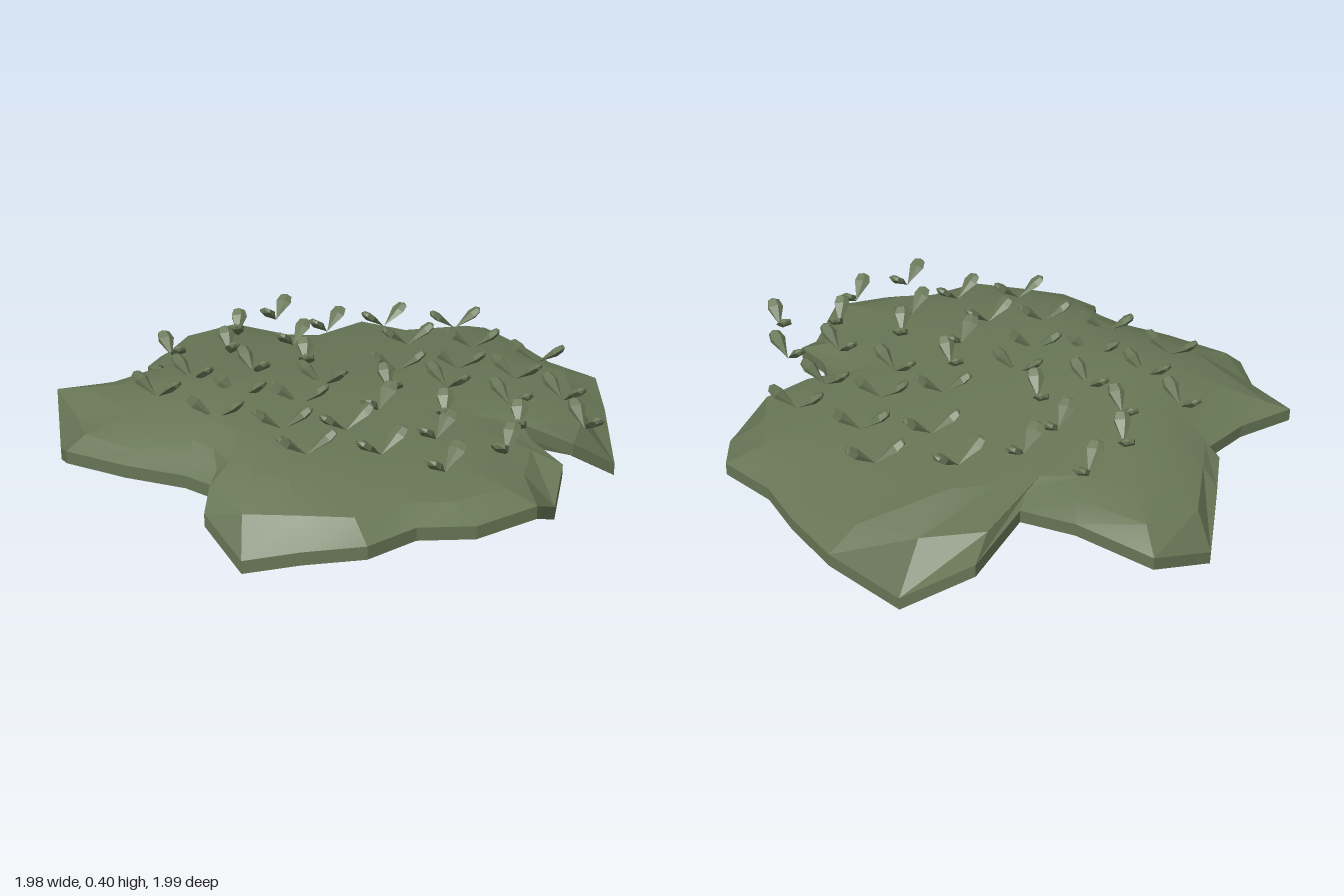
import * as THREE from 'three';
import { mergeGeometries, toCreasedNormals } from 'three/addons/utils/BufferGeometryUtils.js';

// Rim of the mound: x, z and height of its upper edge
const RIM = [
  [0, -1, 0.2], [0.22, -0.9, 0.2], [0.39, -0.8, 0.2], [0.61, -0.75, 0.2], [0.73, -0.58, 0.16],
  [0.86, -0.4, 0.045], [0.77, -0.24, 0.16], [0.62, -0.13, 0.24], [0.7, -0.05, 0.23], [0.86, 0.03, 0.21],
  [0.92, 0.2, 0.14], [0.94, 0.37, 0.22], [0.83, 0.56, 0.2], [0.68, 0.67, 0.2], [0.61, 0.84, 0.19],
  [0.42, 0.92, 0.15], [0.245, 0.99, 0.1], [0.05, 0.92, 0.18], [0, 0.81, 0.22], [-0.12, 0.8, 0.22],
  [-0.35, 0.83, 0.21], [-0.62, 0.82, 0.19], [-0.78, 0.68, 0.11], [-0.94, 0.51, 0.24], [-0.83, 0.33, 0.23],
  [-0.79, 0.15, 0.23], [-0.84, 0.12, 0.22], [-0.9, -0.03, 0.2], [-0.99, -0.27, 0.12], [-0.88, -0.47, 0.18],
  [-0.6, -0.47, 0.21], [-0.42, -0.52, 0.23], [-0.42, -0.8, 0.19], [-0.2, -0.91, 0.045],
];

// Lower edges of the two pads overlapping beneath the mound: x, z, height
const REAR_PAD = [
  [0, -0.65, 0.155], [0.5, -0.4, 0.15], [0.7, 0.25, 0.09], [0.67, 0.41, 0.09], [0.5, 0.52, 0.07],
  [0.24, 0.28, 0.1], [-0.03, 0.31, 0.1], [-0.29, 0.235, 0], [-0.5, 0.22, 0.1], [-0.68, 0.15, 0.09],
  [-0.5, -0.3, 0.15],
];
const FRONT_PAD = [
  [0.24, -0.39, 0.085], [0.45, -0.28, 0.1], [0.55, 0.3, 0.15], [0, 0.55, 0.155], [-0.55, 0.3, 0.15],
  [-0.5, -0.12, 0.1], [-0.29, -0.26, 0.08], [-0.03, -0.43, 0.1],
];

// Sprouts: x, z and heading in degrees
const SPROUTS = [
  [0.06, -0.64, 48], [-0.18, -0.51, 70], [0, -0.39, 50], [0.22, -0.49, 29], [0.49, -0.49, 13],
  [0.28, -0.28, 17], [0.5, -0.305, -2], [0.11, -0.14, 38], [0.34, -0.1, -16], [0.6, -0.08, -22],
  [0.73, -0.22, -22], [0.9, -0.04, -38], [-0.57, -0.34, -80], [-0.33, -0.34, -90], [-0.355, -0.15, -85],
  [-0.59, -0.12, -56], [-0.2, -0.01, -52], [-0.5, 0.05, -42], [-0.65, 0.2, -31], [0.19, 0.04, -43],
  [0.245, 0.2, -86], [0.47, 0.14, -59], [0.53, 0.3, -90], [0.445, 0.5, 75], [0.245, 0.4, 66],
  [0.245, 0.63, 52], [0.72, 0.09, -63], [0.775, 0.28, -76], [0.68, 0.5, -90], [-0.31, 0.16, -27],
  [-0.04, 0.12, 0], [-0.45, 0.335, -12], [-0.215, 0.37, 8], [-0.01, 0.3, 27], [-0.46, 0.52, 0],
  [-0.175, 0.56, 20], [0.065, 0.51, 42],
];

// Average each outline point with its neighbours to round off the notches
function smoothed(points, passes) {
  for (let k = 0; k < passes; k++) {
    points = points.map((p, i) => {
      const a = points.at(i - 1), b = points[(i + 1) % points.length];
      return p.map((v, n) => v * 0.5 + (a[n] + b[n]) * 0.25);
    });
  }
  return points;
}

// Closed shell lofted from top centre, over the edge, to bottom centre;
// each ring gives its scale, smoothing passes and height rule
function shellGeometry(outline, [cx, cz], ringRules) {
  const rings = ringRules.map(([s, passes, height]) => smoothed(outline, passes).map(([x, z, y]) =>
    [cx + (x - cx) * s, height(y, x, z), cz + (z - cz) * s]));
  const pos = [];
  for (let r = 0; r < rings.length - 1; r++) {
    for (let i = 0; i < outline.length; i++) {
      const j = (i + 1) % outline.length;
      const a = rings[r][i], b = rings[r][j], c = rings[r + 1][j], d = rings[r + 1][i];
      if (r > 0) pos.push(...a, ...b, ...c);
      if (r < rings.length - 2) pos.push(...a, ...c, ...d);
    }
  }
  const g = new THREE.BufferGeometry();
  g.setAttribute('position', new THREE.Float32BufferAttribute(pos, 3));
  return toCreasedNormals(g, 0.25);
}

// Two flattened, faceted leaflets spreading upward from one point
function sproutGeometry() {
  const profile = [[0, 0], [0.008, 0.025], [0.032, 0.085], [0.024, 0.115], [0, 0.125]];
  const leaf = new THREE.LatheGeometry(profile.map((p) => new THREE.Vector2(...p)), 5);
  leaf.scale(0.5, 1, 1).rotateZ(-0.93);
  const pair = mergeGeometries([leaf, leaf.clone().rotateY(Math.PI)]).toNonIndexed();
  pair.computeVertexNormals();
  return pair;
}

export function createModel() {
  const model = new THREE.Group();
  const green = new THREE.MeshStandardMaterial({ color: 0x677555 });
  green.name = 'mossGreen';
  const add = (name, geometry) => {
    const mesh = new THREE.Mesh(geometry, green);
    mesh.name = name;
    model.add(mesh);
    return mesh;
  };

  // Domed top, thin rim with drooping tips and flat underside
  const slope = (x, z) => THREE.MathUtils.clamp(Math.max(0.5 - z, 1.2 * x), 0, 1);
  add('mound', shellGeometry(RIM, [-0.2, 0.3], [
    [0, 0, () => 0.36],
    [0.3, 8, (y, x, z) => 0.356 - 0.03 * slope(x, z)],
    [0.55, 5, (y, x, z) => 0.335 - 0.034 * slope(x, z)],
    [0.75, 2, (y, x, z) => 0.294 - 0.018 * slope(x, z)],
    [0.9, 0, (y) => 0.195 + 0.25 * y],
    [1, 0, (y) => y],
    [1, 0, (y) => y - 0.045],
    [0.9, 0, (y) => 0.14 + 0.15 * y],
    [0.75, 1, () => 0.165],
    [0, 0, () => 0.16],
  ]));

  // Overlapping pads showing underneath
  const padRings = [
    [0, 0, () => 0.2], [0.9, 0, () => 0.18], [1, 0, (y) => y + 0.04], [1, 0, (y) => y], [0, 0, () => 0.13],
  ];
  add('rearPad', shellGeometry(REAR_PAD, [0, 0], padRings));
  add('frontPad', shellGeometry(FRONT_PAD, [0, 0], padRings));

  const sprout = sproutGeometry();
  for (const [x, z, heading] of SPROUTS) {
    const mesh = add('sprout', sprout);
    mesh.position.set(x, 0.322, z);
    mesh.rotation.y = THREE.MathUtils.degToRad(heading);
  }
  return model;
}
